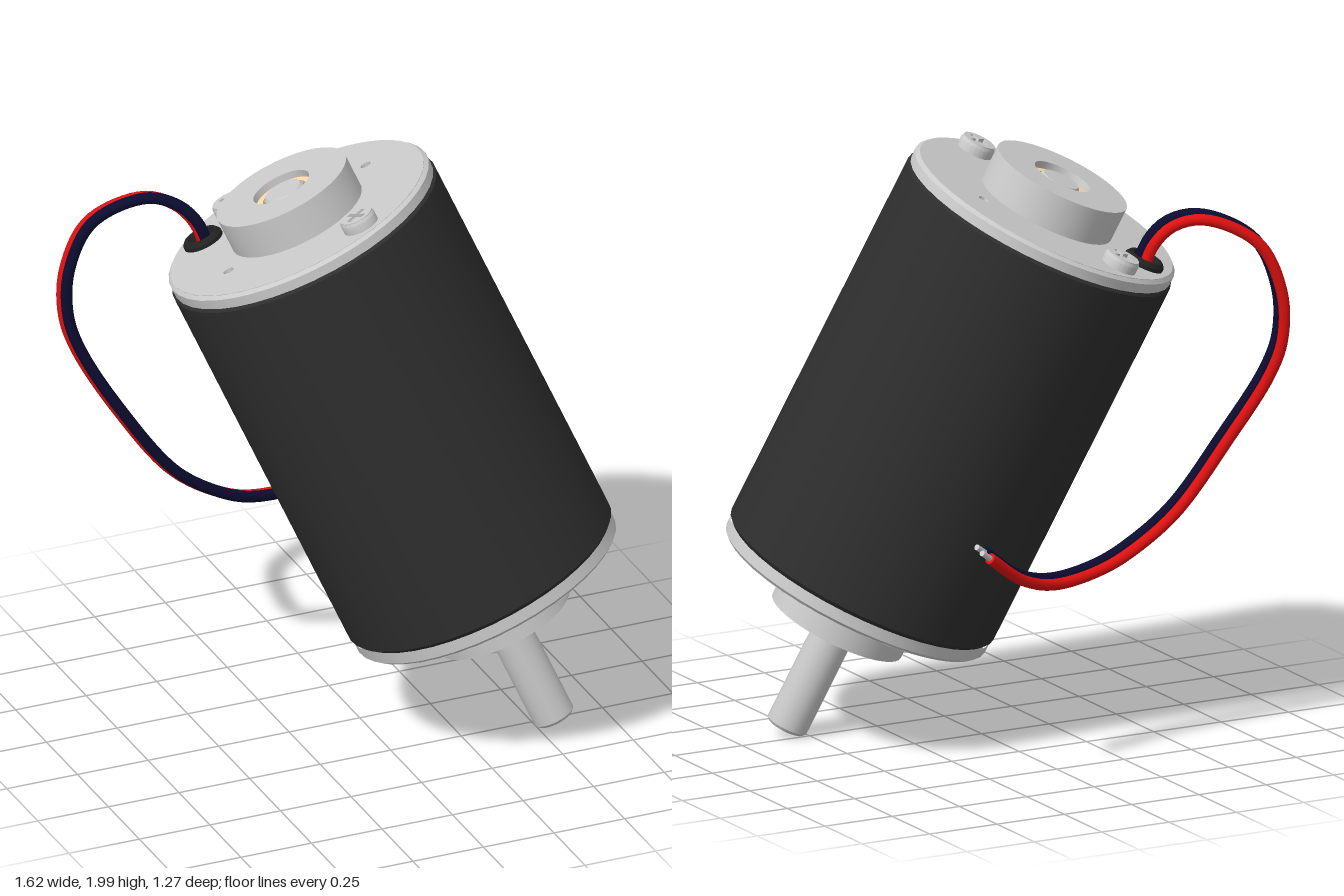
import * as THREE from 'three';
import { toCreasedNormals } from 'three/addons/utils/BufferGeometryUtils.js';

const V3 = (x, y, z) => new THREE.Vector3(x, y, z);
const material = (color) => new THREE.MeshStandardMaterial({ color });
const metal = material(0xcccccc);
const black = material(0x2e2e2e);
const bronze = material(0xffd9a8);
const SEG = 40;

function mesh(name, geometry, mat = metal) {
  const m = new THREE.Mesh(geometry, mat);
  m.name = name;
  return m;
}

// Turned part from [radius, height] pairs, outside running upwards
function turned(name, points, mat = metal, seg = SEG) {
  const g = new THREE.LatheGeometry(points.map(([r, y]) => new THREE.Vector2(r, y)), seg);
  return mesh(name, toCreasedNormals(g, 0.5), mat);
}

// Hollow ring between two radii and two heights
function ring(name, inner, outer, lo, hi, mat) {
  return turned(name, [[inner, lo], [outer, lo], [outer, hi], [inner, hi], [inner, lo]], mat);
}

// Flat shape raised along the motor axis; shape y is local -z
function raised(name, shape, lo, depth, mat) {
  const g = new THREE.ExtrudeGeometry(shape, { depth, bevelEnabled: false, curveSegments: SEG });
  g.rotateX(-Math.PI / 2).translate(0, lo, 0);
  return mesh(name, toCreasedNormals(g, 0.5), mat);
}

function disc(radius, holes = []) {
  const s = new THREE.Shape().absarc(0, 0, radius, 0, Math.PI * 2);
  for (const [x, z, r] of holes) s.holes.push(new THREE.Path().absarc(x, -z, r, 0, Math.PI * 2, true));
  return s;
}

const polar = (deg, r) => [r * Math.cos(deg * Math.PI / 180), r * Math.sin(deg * Math.PI / 180)];

// Pan head screw with a cross recess
function screw() {
  const g = new THREE.Group();
  g.name = 'screw';
  const w = 0.009, l = 0.038;
  const head = disc(0.055);
  const cross = [[w, l], [w, w], [l, w], [l, -w], [w, -w], [w, -l], [-w, -l], [-w, -w], [-l, -w], [-l, w], [-w, w], [-w, l]];
  head.holes.push(new THREE.Path(cross.map(([x, y]) => new THREE.Vector2(x, y))));
  g.add(
    raised('screwHead', head, 0, 0.04),
    turned('screwHeadEdge', [[0.06, 0], [0.06, 0.028], [0.054, 0.04]], metal, 24),
    raised('screwRecess', disc(0.05), 0, 0.018, material(0x777777)),
  );
  return g;
}

// Lead: insulated tube with a bare tip
function lead(name, color, side) {
  const g = new THREE.Group();
  g.name = name;
  const path = [
    [-0.36, 1.58, -0.39], [-0.4, 1.70, -0.41], [-0.46, 1.765, -0.44], [-0.55, 1.785, -0.49], [-0.71, 1.70, -0.555],
    [-0.785, 1.53, -0.575], [-0.793, 1.37, -0.565], [-0.76, 1.25, -0.54], [-0.64, 1.03, -0.475],
    [-0.47, 0.80, -0.435], [-0.31, 0.69, -0.43], [-0.19, 0.645, -0.44], [0, 0.63, -0.48],
    [0.16, 0.68, -0.54], [0.31, 0.785, -0.595],
  ].map(([x, y, z]) => V3(x, y + side * 0.006, z + side * 0.018));
  const curve = new THREE.CatmullRomCurve3(path);
  const end = path[path.length - 1];
  const dir = curve.getTangent(1);
  const cap = mesh('insulationEnd', new THREE.CircleGeometry(0.019, 12), material(color));
  cap.position.copy(end);
  cap.quaternion.setFromUnitVectors(V3(0, 0, 1), dir);
  const tip = mesh('bareTip', new THREE.CylinderGeometry(0.01, 0.01, 0.05, 10));
  tip.position.copy(end).addScaledVector(dir, 0.022);
  tip.quaternion.setFromUnitVectors(V3(0, 1, 0), dir);
  g.add(mesh('insulation', new THREE.TubeGeometry(curve, 100, 0.019, 12), material(color)), cap, tip);
  return g;
}

export function createModel() {
  const model = new THREE.Group();
  model.name = 'electricMotor';

  // Motor built upright along y, shaft tip at the origin, then tilted
  const motor = new THREE.Group();
  motor.name = 'motor';
  motor.position.set(0.56, 0.03, 0.30);
  motor.quaternion.setFromUnitVectors(V3(0, 1, 0), V3(-0.366, 0.901, -0.234).normalize());
  model.add(motor);

  // Can
  motor.add(turned('can', [[0, 0.558], [0.46, 0.558], [0.475, 0.573], [0.475, 1.895], [0.46, 1.91], [0, 1.91]], black));

  // Shaft and bushings
  motor.add(turned('shaft', [[0, 0], [0.062, 0], [0.07, 0.01], [0.07, 2.05], [0.062, 2.06], [0, 2.06]], metal, 28));
  motor.add(ring('frontBushing', 0.078, 0.1, 0.4, 0.5, bronze));
  motor.add(ring('rearBushing', 0.078, 0.1, 1.95, 2.045, bronze));

  // Front plate with four mounting holes and two screw holes
  const mounts = [30, 120, 210, 300].map((a) => [...polar(a, 0.32), 0.03]);
  const screwHoles = [75, 255].map((a) => [...polar(a, 0.376), 0.038]);
  motor.add(raised('frontPlate', disc(0.455, [...mounts, ...screwHoles]), 0.51, 0.04));
  motor.add(turned('frontPlateRim', [[0.454, 0.51], [0.468, 0.522], [0.468, 0.558]]));
  motor.add(raised('frontBacking', disc(0.455), 0.548, 0.01));
  motor.add(ring('frontBoss', 0.1, 0.233, 0.38, 0.512));
  for (const [x, z] of screwHoles) {
    const end = mesh('screwEnd', new THREE.CylinderGeometry(0.03, 0.03, 0.03, 16));
    end.position.set(x, 0.533, z);
    motor.add(end);
  }

  // Rear plate with two small holes
  const vents = [[0.301, -0.081, 0.018], [-0.301, 0.081, 0.018]];
  motor.add(raised('rearPlate', disc(0.455, vents), 1.912, 0.038));
  motor.add(turned('rearPlateRim', [[0.468, 1.905], [0.468, 1.938], [0.454, 1.95]]));
  motor.add(ring('rearBoss', 0.1, 0.233, 1.948, 2.07));
  for (const a of [75, 255]) {
    const s = screw();
    const [x, z] = polar(a, 0.376);
    s.position.set(x, 1.95, z);
    s.rotation.y = 0.4;
    motor.add(s);
  }

  // Grommet where the leads come out
  const grommet = turned('grommet', [[0.068, 0], [0.068, 0.012], [0.058, 0.024], [0.046, 0.024], [0.04, 0.004], [0, 0.004]], material(0x222222), 28);
  grommet.position.set(-0.253, 1.95, -0.264);
  motor.add(grommet);

  // Leads
  model.add(lead('redLead', 0xe01010, -1), lead('blueLead', 0x0c0c30, 1));
  return model;
}
